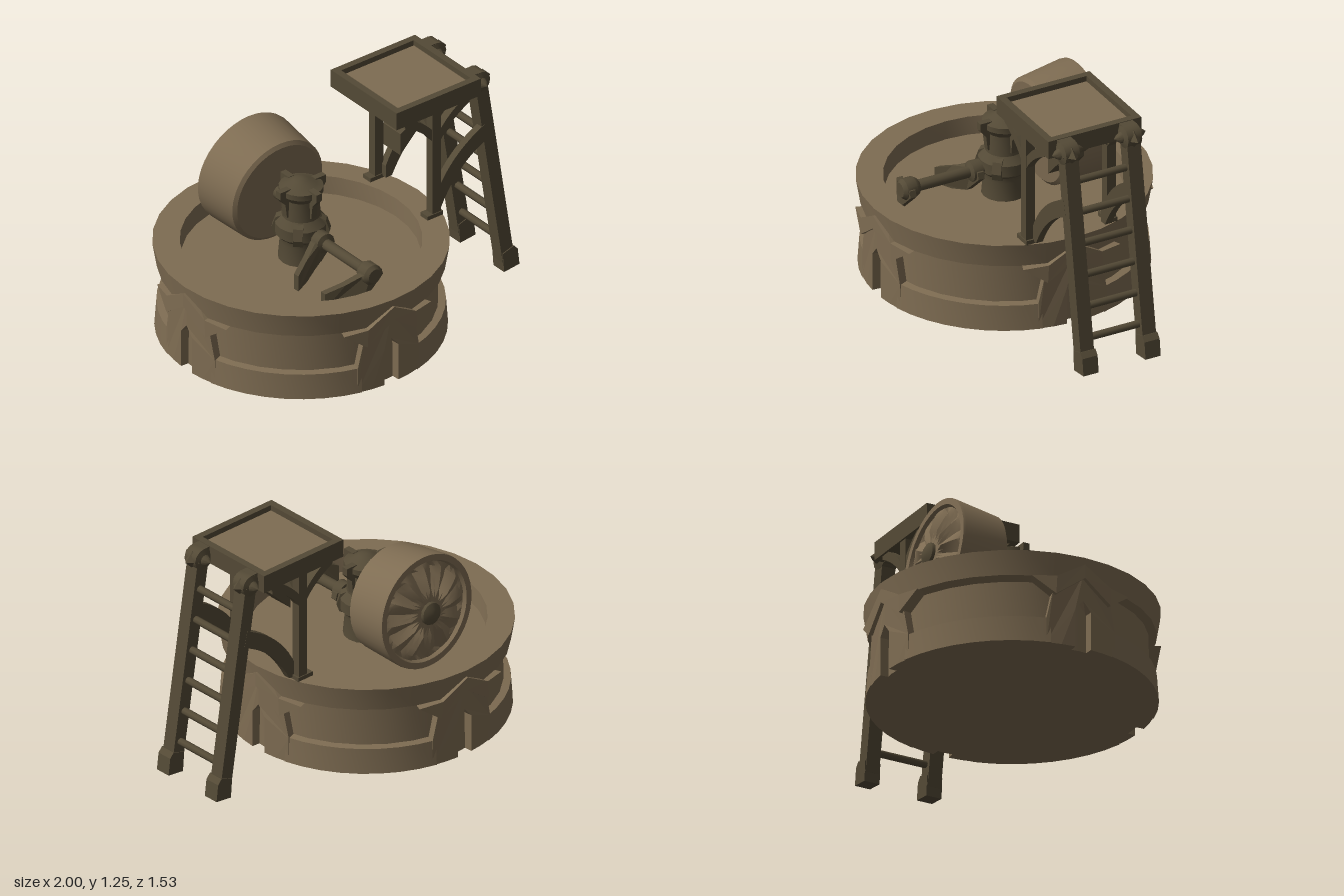
import * as THREE from 'three';
import { toCreasedNormals } from 'three/addons/utils/BufferGeometryUtils.js';

const stone = new THREE.MeshStandardMaterial({ color: 0x7e6c52 });
stone.name = 'stone';
const wood = new THREE.MeshStandardMaterial({ color: 0x544a36 });
wood.name = 'dark wood';

const V = (list) => list.map(([x, y]) => new THREE.Vector2(x, y));

function add(parent, name, geometry, material, x = 0, y = 0, z = 0) {
  const mesh = new THREE.Mesh(geometry, material);
  mesh.name = name;
  mesh.position.set(x, y, z);
  parent.add(mesh);
  return mesh;
}

const lathe = (points, segments = 32, start = 0, length = Math.PI * 2) =>
  toCreasedNormals(new THREE.LatheGeometry(V(points), segments, start, length), 0.55);

// Extrude a profile in x-y, centred on z
function slab(shape, depth) {
  const s = shape instanceof THREE.Shape ? shape : new THREE.Shape(V(shape));
  return new THREE.ExtrudeGeometry(s, { depth, bevelEnabled: false, curveSegments: 10 }).translate(0, 0, -depth / 2);
}

// Straight beam between two points of an x-y plane
function beam(parent, name, a, b, width, depth, z) {
  const dx = b[0] - a[0], dy = b[1] - a[1];
  const mesh = add(parent, name, new THREE.BoxGeometry(width, Math.hypot(dx, dy), depth), wood,
    (a[0] + b[0]) / 2, (a[1] + b[1]) / 2, z);
  mesh.rotation.z = -Math.atan2(dx, dy);
  return mesh;
}

// Wrap an extruded panel around the basin
function wrapped(points, inner, outer) {
  const g = new THREE.ExtrudeGeometry(new THREE.Shape(V(points)), { depth: outer - inner, bevelEnabled: false });
  const p = g.attributes.position;
  for (let i = 0; i < p.count; i++) {
    const a = p.getX(i) / 0.74, r = inner + p.getZ(i);
    p.setXYZ(i, r * Math.sin(a), p.getY(i), r * Math.cos(a));
  }
  g.computeVertexNormals();
  return g;
}

function makeBasin() {
  const basin = new THREE.Group();
  basin.name = 'basin';
  add(basin, 'basinBody', lathe([[0, 0.03], [0.7, 0.03], [0.695, 0.38], [0.735, 0.4], [0.757, 0.53],
    [0.617, 0.53], [0.61, 0.43], [0, 0.43]]), stone);
  for (let k = 0; k < 4; k++) {
    const side = new THREE.Group();
    side.name = 'basinSide';
    side.rotation.y = k * Math.PI / 2;
    basin.add(side);
    // base course between the niches
    add(side, 'baseCourse', lathe([[0.69, 0.03], [0.746, 0.03], [0.736, 0.17], [0.69, 0.175]],
      8, 0.24, Math.PI / 2 - 0.48), stone);
    // pier with a pointed niche, under a gable
    add(side, 'nichePier', wrapped([[-0.2, 0.03], [-0.12, 0.03], [-0.045, 0.03], [-0.045, 0.24], [0, 0.295],
      [0.045, 0.24], [0.045, 0.03], [0.12, 0.03], [0.2, 0.03], [0.2, 0.17], [0.165, 0.33], [0, 0.44],
      [-0.165, 0.33], [-0.2, 0.17]], 0.69, 0.742), stone);
    add(side, 'gable', wrapped([[-0.28, 0.39], [-0.155, 0.3], [0, 0.415], [0.155, 0.3], [0.28, 0.39],
      [0.15, 0.4], [0, 0.49], [-0.15, 0.4]], 0.69, 0.763), stone);
  }
  return basin;
}

function makeWheel() {
  const wheel = new THREE.Group();
  wheel.name = 'millstone';
  wheel.position.set(0, 0.745, -0.455);
  wheel.rotation.x = -Math.PI / 2 + 0.085;
  // drum, then a carved sunburst on the outer face
  add(wheel, 'drum', lathe([[0, -0.275], [0.27, -0.275], [0.29, -0.26], [0.31, -0.015], [0.308, 0],
    [0.275, 0], [0.265, -0.02]], 40), stone);
  const face = new THREE.LatheGeometry(V([[0.27, -0.02], [0.24, -0.015], [0.2, 0], [0.13, 0.018], [0.08, 0.024], [0, 0.024]]), 48);
  const p = face.attributes.position;
  for (let i = 0; i < p.count; i++) {
    const r = Math.hypot(p.getX(i), p.getZ(i)), a = Math.atan2(p.getX(i), p.getZ(i));
    if (r > 0.1 && r < 0.26) p.setY(i, p.getY(i) + 0.014 * Math.cos(12 * a) + 0.005 * Math.cos(5 * a));
  }
  add(wheel, 'carvedFace', toCreasedNormals(face, 0.5), stone);
  add(wheel, 'hubCap', lathe([[0.065, 0.01], [0.06, 0.04], [0.03, 0.055], [0, 0.057]], 12), wood);
  add(wheel, 'axle', new THREE.CylinderGeometry(0.04, 0.04, 0.3, 12), wood, 0, -0.35, 0);
  return wheel;
}

function makePost() {
  const post = new THREE.Group();
  post.name = 'centrePost';
  add(post, 'postShaft', lathe([[0.12, 0.42], [0.11, 0.53], [0.115, 0.56], [0.135, 0.58], [0.135, 0.64],
    [0.1, 0.68], [0.095, 0.79], [0.115, 0.82], [0.115, 0.85], [0.08, 0.86], [0.04, 0.885], [0, 0.89]], 16), wood);
  const prong = slab([[0.08, 0.7], [0.105, 0.7], [0.115, 0.78], [0.148, 0.82], [0.148, 0.862], [0.08, 0.862]], 0.035);
  const lug = slab([[0.1, 0.55], [0.135, 0.56], [0.15, 0.6], [0.13, 0.66], [0.09, 0.68]], 0.05);
  for (let k = 0; k < 4; k++) {
    add(post, 'prong', prong, wood).rotation.y = k * Math.PI / 2;
    add(post, 'lug', lug, wood).rotation.y = k * Math.PI / 2 + Math.PI / 4;
  }
  return post;
}

function makeRake() {
  const rake = new THREE.Group();
  rake.name = 'rakeArm';
  // arm with collar and end knob, running toward +z
  const arm = lathe([[0.03, 0.05], [0.03, 0.14], [0.055, 0.145], [0.055, 0.2], [0.03, 0.21], [0.03, 0.5],
    [0.045, 0.51], [0.057, 0.53], [0.057, 0.585], [0.04, 0.605], [0, 0.605]], 12);
  add(rake, 'arm', arm, wood, 0, 0.595, 0).rotation.x = Math.PI / 2;
  // bent scraper blades
  for (const [z, dir] of [[0.17, 1], [0.565, -1]]) {
    const blade = slab([[0.07, 0.575], [0.06, 0.61], [0, 0.62], [-0.06, 0.61], [-0.14, 0.565], [-0.235, 0.525],
      [-0.235, 0.435], [-0.14, 0.435], [-0.06, 0.455], [0, 0.51]], 0.035);
    const p = blade.attributes.position;
    for (let i = 0; i < p.count; i++) {
      p.setZ(i, p.getZ(i) + dir * Math.max(0, -0.06 - p.getX(i)) * 0.5);
    }
    blade.computeVertexNormals();
    add(rake, 'scraperBlade', blade, wood, 0, 0, z);
  }
  return rake;
}

function makeTower() {
  const tower = new THREE.Group();
  tower.name = 'hopperTower';
  // tray
  for (const s of [-1, 1]) {
    add(tower, 'traySide', new THREE.BoxGeometry(0.545, 0.1, 0.038), wood, 0.4375, 1.2, s * 0.251);
    add(tower, 'trayEnd', new THREE.BoxGeometry(0.038, 0.1, 0.466), wood, 0.4375 + s * 0.2535, 1.2, 0);
  }
  add(tower, 'trayFloor', new THREE.BoxGeometry(0.47, 0.015, 0.466), stone, 0.4375, 1.212, 0);
  add(tower, 'trayUnderside', new THREE.BoxGeometry(0.47, 0.03, 0.466), wood, 0.4375, 1.175, 0);
  // funnel and slanted chute
  const funnel = new THREE.CylinderGeometry(0.28, 0.1, 0.17, 4).rotateY(Math.PI / 4).toNonIndexed();
  funnel.computeVertexNormals();
  add(tower, 'funnel', funnel, wood, 0.4375, 1.08, 0).scale.x = 0.65;
  add(tower, 'chute', slab([[0.347, 0.835], [0.41, 0.9], [0.47, 0.96], [0.47, 1.03], [0.41, 0.99], [0.347, 0.96]], 0.14), wood);

  const bracket = new THREE.Shape();
  bracket.moveTo(0, 0.93);
  bracket.quadraticCurveTo(0.05, 1.05, 0.21, 1.13);
  bracket.lineTo(0.21, 1.155);
  bracket.lineTo(0.155, 1.155);
  bracket.quadraticCurveTo(0.06, 1.1, 0, 1.01);
  const brace = new THREE.Shape();
  brace.moveTo(0.45, 0.54);
  brace.lineTo(0.49, 0.54);
  brace.quadraticCurveTo(0.6, 0.76, 0.8, 0.84);
  brace.lineTo(0.78, 0.93);
  brace.quadraticCurveTo(0.55, 0.83, 0.45, 0.61);
  const elbow = lathe([[0, -0.092], [0.02, -0.07], [0.03, -0.05], [0.06, -0.04], [0.06, 0.04],
    [0.03, 0.05], [0.02, 0.07], [0, 0.092]], 12);
  const foot = slab([[-0.05, -0.055], [0.05, -0.055], [0.05, 0.04], [0.03, 0.07], [-0.045, 0.055]], 0.088);
  const legX = (y) => 0.92 - 0.157 * (y - 0.12);

  for (const s of [-1, 1]) {
    // uprights standing on the basin rim
    add(tower, 'upright', new THREE.BoxGeometry(0.055, 0.65, 0.05), wood, 0.4325, 0.84, s * 0.235);
    add(tower, 'uprightFoot', new THREE.BoxGeometry(0.1, 0.025, 0.06), wood, 0.42, 0.54, s * 0.235);
    add(tower, 'bracket', slab(bracket, 0.045), wood, 0.4375, 0, s * 0.235);
    add(tower, 'bracket', slab(bracket, 0.045), wood, 0.4375, 0, s * 0.235).rotation.y = Math.PI;
    add(tower, 'crossBracket', slab(bracket, 0.045), wood, 0.4325, 0, s * 0.235).rotation.y = s * Math.PI / 2;
    add(tower, 'curvedBrace', slab(brace, 0.04), wood, 0, 0, s * 0.2);
    // ladder legs hooked to the tray
    beam(tower, 'ladderLeg', [legX(0.06), 0.06], [legX(1.17), 1.17], 0.075, 0.078, s * 0.18);
    beam(tower, 'ladderHook', [0.69, 1.197], [0.75, 1.197], 0.1, 0.078, s * 0.18);
    add(tower, 'hookElbow', elbow, wood, 0.75, 1.188, s * 0.18).rotation.x = Math.PI / 2;
    add(tower, 'hookBolt', new THREE.OctahedronGeometry(0.05), wood, 0.79, 1.185, s * 0.18);
    add(tower, 'ladderFoot', foot, wood, 0.94, 0.062, s * 0.18).rotation.z = 0.12;
  }
  // rungs
  for (let i = 0; i < 6; i++) {
    const y = 0.18 + i * 0.169;
    add(tower, 'rung', new THREE.CylinderGeometry(0.02, 0.02, 0.3, 8).rotateX(Math.PI / 2), wood, legX(y), y, 0);
  }
  return tower;
}

export function createModel() {
  const model = new THREE.Group();
  model.name = 'grindingMill';
  const mill = new THREE.Group();
  mill.name = 'mill';
  mill.position.x = -0.24;
  mill.add(makeBasin(), makeWheel(), makePost(), makeRake());
  model.add(mill, makeTower());
  return model;
}
